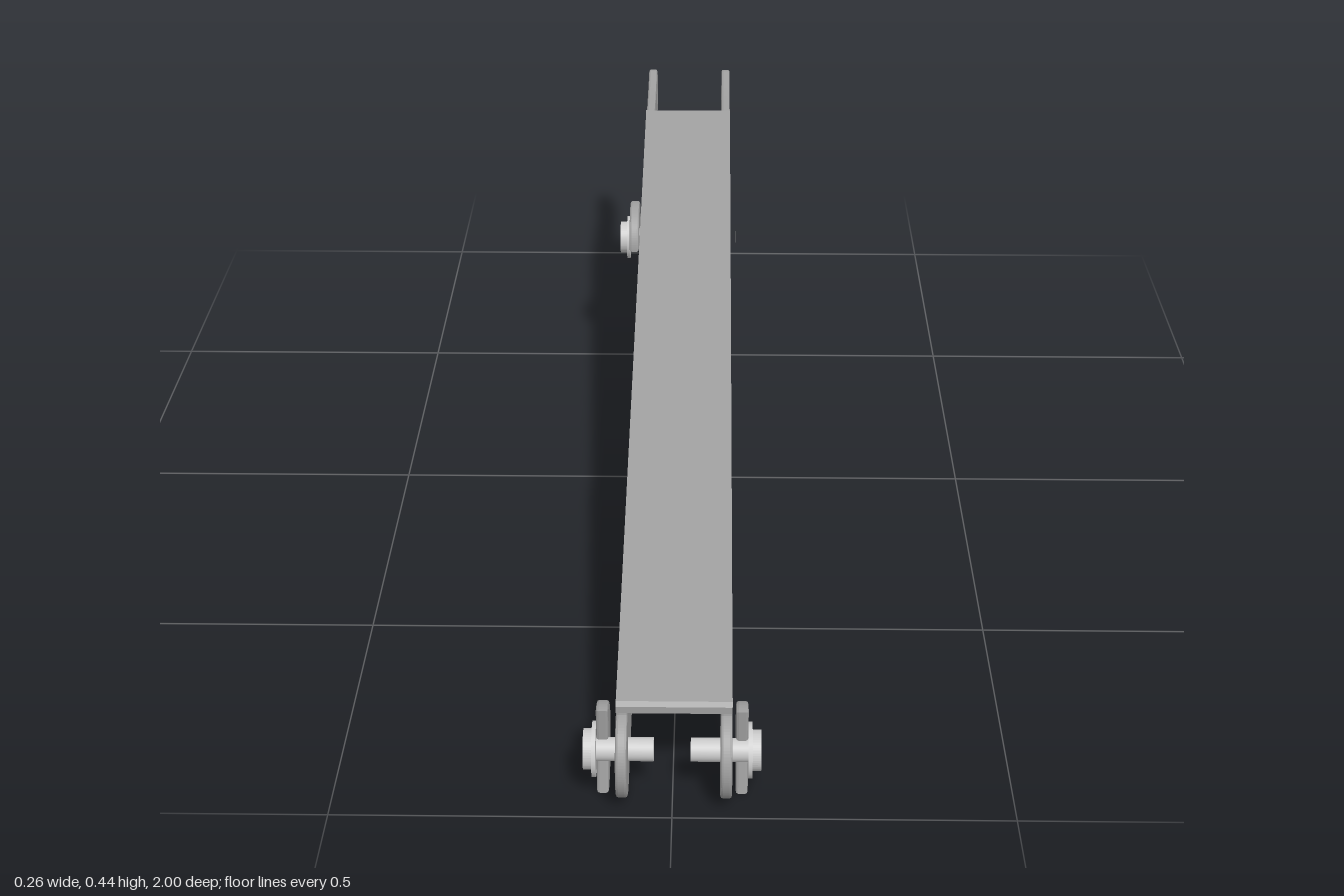
import * as THREE from 'three';

const steel = new THREE.MeshStandardMaterial({ color: 0x9f9f9f });
const bright = new THREE.MeshStandardMaterial({ color: 0xcccccc });
const thin = new THREE.MeshStandardMaterial({ color: 0x9f9f9f, side: THREE.DoubleSide });
const V = (u, y) => new THREE.Vector2(u, y);

function add(parent, name, geometry, material = steel) {
  const mesh = new THREE.Mesh(geometry, material);
  mesh.name = name;
  parent.add(mesh);
  return mesh;
}

// Profiles are drawn in (u = -z, y) and extruded along +x between x0 and x1.
function slab(shape, x0, x1, bevel = 0) {
  const geo = new THREE.ExtrudeGeometry(shape, {
    depth: x1 - x0 - 2 * bevel, curveSegments: 24,
    bevelEnabled: bevel > 0, bevelThickness: bevel, bevelSize: bevel,
    bevelOffset: -bevel, bevelSegments: 2,
  });
  return geo.translate(0, 0, x0 + bevel).rotateY(Math.PI / 2);
}

function rod(radius, x0, x1) {
  return new THREE.CylinderGeometry(radius, radius, x1 - x0, 32)
    .rotateZ(Math.PI / 2).translate((x0 + x1) / 2, 0, 0);
}

// Sector of a flat ring
function sector(inner, outer, a0, a1) {
  const s = new THREE.Shape();
  s.absarc(0, 0, outer, a0, a1, false);
  s.absarc(0, 0, inner, a1, a0, true);
  s.closePath();
  return s;
}

// Side plate: round front eye, bulge below, slim curved rear arm with an eye
function sideShape() {
  const s = new THREE.Shape();
  s.absarc(-0.931, 0.071, 0.07, THREE.MathUtils.degToRad(100), THREE.MathUtils.degToRad(280), false);
  s.lineTo(0.367, 0.228);
  s.splineThru([V(0.39, 0.23), V(0.415, 0.223), V(0.44, 0.206), V(0.478, 0.198), V(0.515, 0.206),
    V(0.537, 0.228), V(0.565, 0.251)]);
  s.splineThru([V(0.62, 0.275), V(0.69, 0.297), V(0.796, 0.322), V(0.947, 0.338)]);
  s.absarc(0.947, 0.39, 0.053, -Math.PI / 2, Math.PI / 2, false);
  s.splineThru([V(0.85, 0.43), V(0.725, 0.423)]);
  s.lineTo(0.72, 0.436);
  s.lineTo(-0.94, 0.155);
  s.holes.push(new THREE.Path().absarc(0.947, 0.39, 0.018, 0, Math.PI * 2, true));
  return s;
}

// Screw with cross recess, flange, pin and open washer, pointing to +x
function screw(name, pinEnd, a0, a1) {
  const g = new THREE.Group();
  g.name = name;
  add(g, 'pin', rod(0.0175, pinEnd, 0.112), bright);
  add(g, 'washer', slab(sector(0.017, 0.071, a0, a1), 0.093, 0.111, 0.004));
  add(g, 'flange', rod(0.041, 0.111, 0.117), bright);
  const head = new THREE.Shape().absarc(0, 0, 0.03, 0, Math.PI * 2, false);
  const a = 0.005, b = 0.016;
  head.holes.push(new THREE.Path([
    V(a, a), V(a, b), V(-a, b), V(-a, a), V(-b, a), V(-b, -a),
    V(-a, -a), V(-a, -b), V(a, -b), V(a, -a), V(b, -a), V(b, a),
  ]));
  add(g, 'screwHead', slab(head, 0.116, 0.13), bright).rotation.x = Math.PI / 18;
  return g;
}

export function createModel() {
  const model = new THREE.Group();
  model.name = 'channelArm';

  // Two side plates, the rear eyes filled by recessed plugs
  for (const [side, x0, x1] of [['left', 0.07, 0.087], ['right', -0.082, -0.065]]) {
    add(model, side + 'SidePlate', slab(sideShape(), x0, x1, 0.004));
    add(model, side + 'PivotPlug', rod(0.0225, x0 + 0.005, x1 - 0.005)).position.set(0, 0.39, -0.947);
  }

  // Sloping top plate joining the sides, bevelled at the front
  const top = new THREE.Shape([V(-0.943, 0.143), V(0.725, 0.424), V(0.722, 0.44), V(-0.937, 0.16), V(-0.943, 0.154)]);
  add(model, 'topPlate', slab(top, -0.082, 0.087));

  // Front screws, mirrored, with washers open toward the front
  for (const s of [1, -1]) {
    const g = s > 0 ? screw('leftFrontScrew', 0.027, -1.75, 1.65)
      : screw('rightFrontScrew', 0.027, Math.PI - 1.65, Math.PI + 1.75);
    g.rotation.y = s > 0 ? 0 : Math.PI;
    g.position.set(-0.0005, 0.071, 0.931);
    model.add(g);
  }

  // Middle screw on the right side with an upper half washer
  const middle = screw('middleScrew', 0.003, 0, Math.PI);
  middle.rotation.y = Math.PI;
  middle.position.set(0.004, 0.266, -0.482);
  model.add(middle);

  // Thin washer pieces on the left side
  const pieces = new THREE.Group();
  pieces.name = 'leftWasherPieces';
  pieces.position.set(0.099, 0.266, -0.482);
  model.add(pieces);
  const disc = new THREE.Shape().absarc(0, 0, 0.014, 0, Math.PI * 2, false);
  for (const shape of [sector(0.036, 0.068, 1.2, 3.2), sector(0.046, 0.071, -0.35, 0.4), disc]) {
    add(pieces, 'washerPiece', new THREE.ShapeGeometry(shape, 16).rotateY(Math.PI / 2), thin);
  }
  return model;
}
